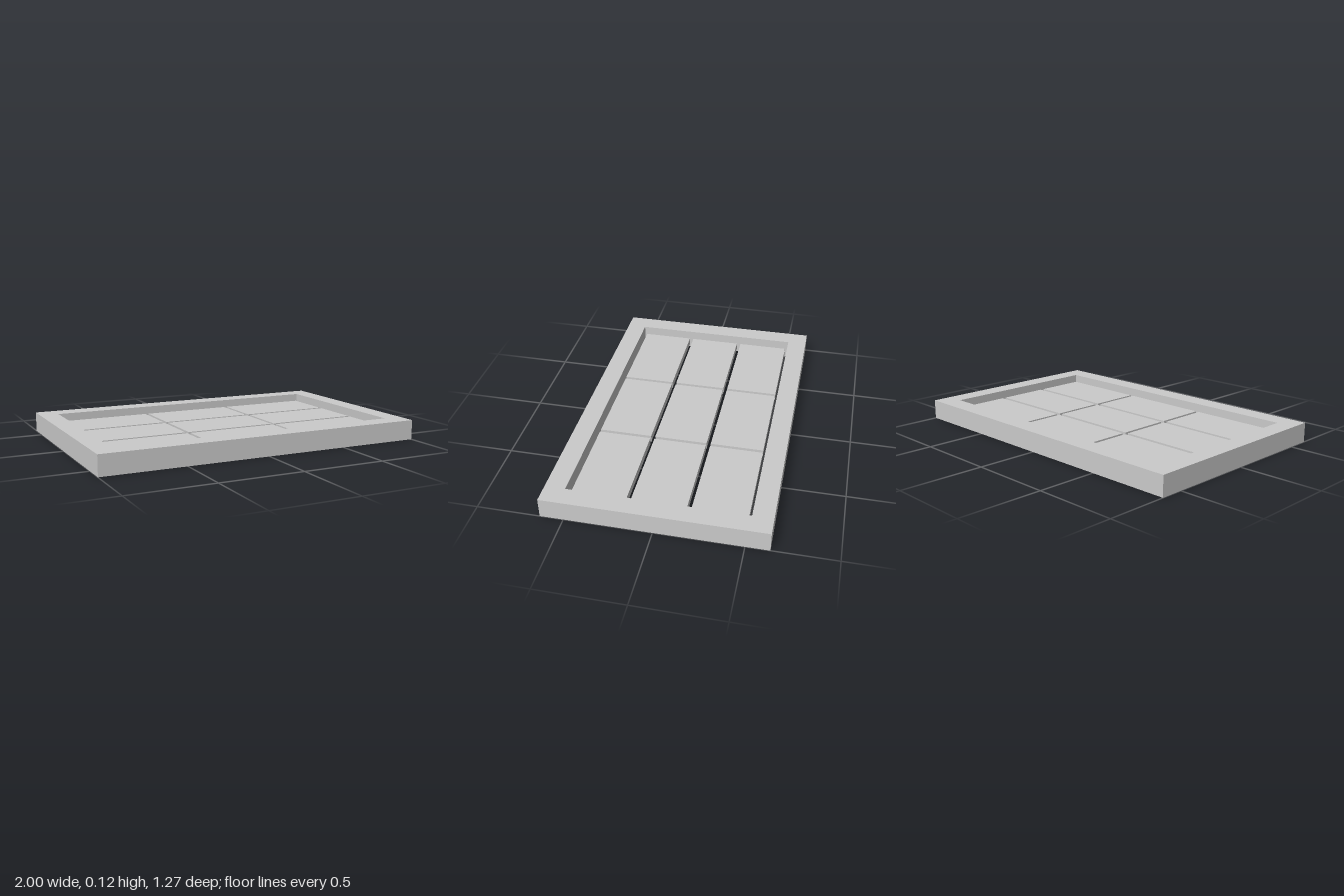
import * as THREE from 'three';

const material = new THREE.MeshStandardMaterial({ color: 0xcccccc });

// Outer frame
const WIDTH = 2, DEPTH = 1.27, HEIGHT = 0.12;
// Opening inside the frame
const OPEN_W = 1.77, OPEN_D = 1.032;
// Panel grid, recessed from both faces of the frame
const COLS = 3, ROWS = 3, PANEL_W = 0.563, PANEL_D = 0.315;
const PITCH_X = 0.584, PITCH_Z = 0.34;
const PANEL_BOTTOM = 0.03, PANEL_TOP = 0.075;

function rectangle(PathType, w, d) {
  return new PathType([
    new THREE.Vector2(-w / 2, -d / 2),
    new THREE.Vector2(w / 2, -d / 2),
    new THREE.Vector2(w / 2, d / 2),
    new THREE.Vector2(-w / 2, d / 2),
  ]);
}

export function createModel() {
  const model = new THREE.Group();
  model.name = 'panelledFrame';

  // Rectangular frame with an open centre
  const outline = rectangle(THREE.Shape, WIDTH, DEPTH);
  outline.holes.push(rectangle(THREE.Path, OPEN_W, OPEN_D));
  const frameGeometry = new THREE.ExtrudeGeometry(outline, { depth: HEIGHT, bevelEnabled: false });
  frameGeometry.rotateX(-Math.PI / 2);
  const frame = new THREE.Mesh(frameGeometry, material);
  frame.name = 'frame';
  model.add(frame);

  // Grid of separate panels with narrow gaps between them
  const panels = new THREE.Group();
  panels.name = 'panels';
  const panelGeometry = new THREE.BoxGeometry(PANEL_W, PANEL_TOP - PANEL_BOTTOM, PANEL_D);
  for (let row = 0; row < ROWS; row++) {
    for (let col = 0; col < COLS; col++) {
      const panel = new THREE.Mesh(panelGeometry, material);
      panel.name = `panelRow${row + 1}Column${col + 1}`;
      panel.position.set(
        (col - (COLS - 1) / 2) * PITCH_X,
        (PANEL_TOP + PANEL_BOTTOM) / 2,
        (row - (ROWS - 1) / 2) * PITCH_Z
      );
      panels.add(panel);
    }
  }
  model.add(panels);

  return model;
}
